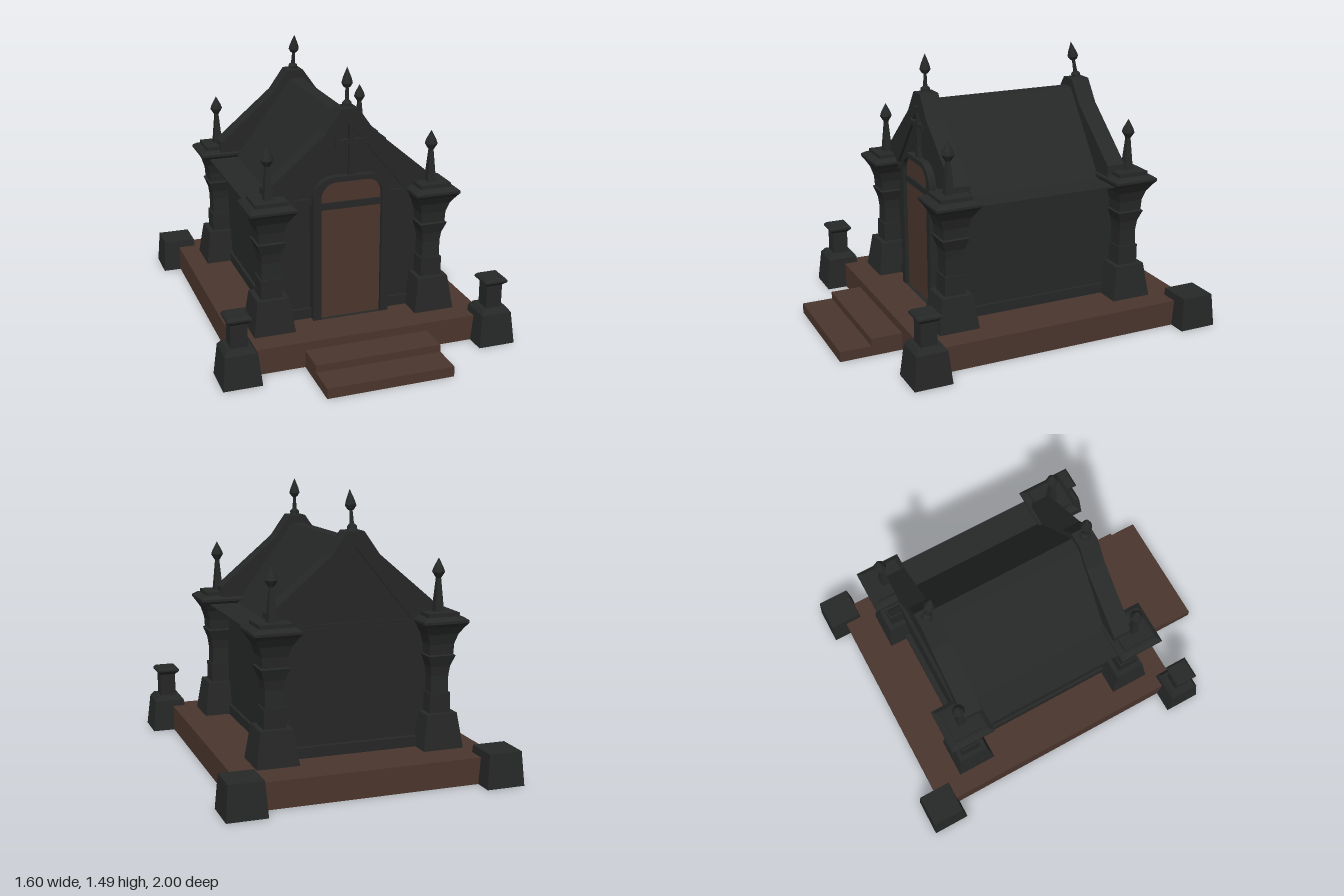
import * as THREE from 'three';

export function createModel() {
  const model = new THREE.Group();
  model.name = 'mausoleum';
  const stone = new THREE.MeshStandardMaterial({ color: 0x262727, side: THREE.DoubleSide });
  stone.name = 'dark stone';
  const brown = new THREE.MeshStandardMaterial({ color: 0x4a352d, side: THREE.DoubleSide });
  brown.name = 'brown stone';
  const CX = -0.012; // the building sits slightly off the plinth centre

  function add(name, geo, mat, x = 0, y = 0, z = 0, parent = model) {
    const m = new THREE.Mesh(geo, mat);
    m.name = name;
    m.position.set(x, y, z);
    parent.add(m);
    return m;
  }
  const box = (w, h, d) => new THREE.BoxGeometry(w, h, d);

  // Faceted turned shape from [radius, height] pairs; four sides give a square section
  function turned(profile, sides = 4) {
    const k = sides === 4 ? Math.SQRT2 : 1;
    const pts = profile.map(([r, y]) => new THREE.Vector2(r * k, y));
    const g = new THREE.LatheGeometry(pts, sides, Math.PI / 4).toNonIndexed();
    g.computeVertexNormals();
    return g;
  }
  // Box without a bottom face
  const openBox = (w, h, d) => turned([[0.5, 0], [0.5, 1], [0, 1]]).scale(w, h, d);

  // Mirrored outline given by its right half from bottom to top
  function symmetric(half) {
    const s = new THREE.Shape();
    half.forEach(([x, y], i) => (i ? s.lineTo(x, y) : s.moveTo(x, y)));
    [...half].reverse().forEach(([x, y]) => s.lineTo(-x, y));
    s.closePath();
    return s;
  }
  const extrude = (shape, depth) =>
    new THREE.ExtrudeGeometry(shape, { depth, bevelEnabled: false, curveSegments: 6 });

  // Platform and steps
  add('platform', openBox(1.36, 0.14, 1.56), brown, 0, 0, -0.12);
  add('upperStep', openBox(0.68, 0.095, 0.17), brown, 0, 0, 0.745);
  add('lowerStep', openBox(0.68, 0.055, 0.17), brown, 0, 0, 0.915);

  // Corner posts
  const tallPost = turned([[0.102, 0], [0.084, 0.175], [0.066, 0.2], [0.044, 0.2], [0.044, 0.325],
    [0.064, 0.345], [0.064, 0.355], [0.052, 0.368], [0, 0.368]]);
  const shortPost = turned([[0.104, 0], [0.09, 0.18], [0, 0.18]]);
  for (const s of [-1, 1]) {
    add('frontPost', tallPost, stone, s * 0.7, 0, 0.67);
    add('backPost', shortPost, stone, s * 0.676, 0, -0.897);
  }

  // Body with steep roof
  const body = symmetric([[0.405, 0.13], [0.405, 0.785], [0.365, 0.79], [0.036, 1.235]]);
  add('body', extrude(body, 0.97), stone, CX, 0, -0.59);
  add('wallPlinth', box(0.84, 0.055, 1.0), stone, CX, 0.1675, -0.1);
  for (const s of [-1, 1]) {
    add('eave', box(0.16, 0.009, 0.94), stone, CX + s * 0.445, 0.787, -0.1);
  }
  add('backPlinth', box(0.68, 0.055, 0.03), stone, CX, 0.1675, -0.605);

  // Gable parapets with a recessed triangle, front and back
  const gable = symmetric([[0.46, 0.8], [0.455, 0.885], [0.13, 1.16], [0.045, 1.28]]);
  const recess = new THREE.Path();
  recess.moveTo(-0.31, 0.82);
  recess.lineTo(0, 1.2);
  recess.lineTo(0.31, 0.82);
  recess.closePath();
  const rim = gable.clone();
  rim.holes.push(recess);
  for (const [zCore, zRim] of [[0.31, 0.4], [-0.585, -0.6]]) {
    add('gableWall', extrude(gable, 0.09), stone, CX, 0, zCore);
    add('gableRim', extrude(rim, 0.015), stone, CX, 0, zRim);
  }
  add('frontMoulding', box(0.7, 0.02, 0.025), stone, CX, 0.79, 0.395);
  add('backMoulding', box(0.7, 0.02, 0.025), stone, CX, 0.79, -0.595);

  // Columns with pointed finials
  const column = turned([[0.112, 0.14], [0.085, 0.325], [0.058, 0.325], [0.058, 0.43], [0.05, 0.43],
    [0.049, 0.52], [0.055, 0.57], [0.076, 0.63], [0.066, 0.635], [0.069, 0.69], [0.085, 0.745],
    [0.11, 0.785], [0.125, 0.805], [0.125, 0.818], [0.1, 0.835], [0.087, 0.835], [0.087, 0.855], [0, 0.855]]);
  const spike = turned([[0.024, 0.855], [0.01, 1.03], [0, 1.03]]);
  const spikeHead = turned([[0, 1.02], [0.016, 1.03], [0.035, 1.06], [0.028, 1.08], [0, 1.132]], 8);
  for (const x of [-0.448, 0.448]) {
    for (const z of [0.42, -0.61]) {
      add('column', column, stone, CX + x, 0, z);
      add('columnSpike', spike, stone, CX + x, 0, z + Math.sign(z) * 0.01);
      add('columnSpikeHead', spikeHead, stone, CX + x, 0, z + Math.sign(z) * 0.01);
    }
  }

  // Ridge finials, the rear one leaning
  const finial = turned([[0.035, -0.01], [0.026, 0.01], [0.026, 0.022], [0.012, 0.035], [0.009, 0.1],
    [0.018, 0.105], [0.031, 0.125], [0.024, 0.15], [0, 0.208]], 8);
  add('frontFinial', finial, stone, CX, 1.28, 0.365);
  add('backFinial', finial, stone, CX, 1.28, -0.548).rotation.x = 0.19;

  // Arched doorway
  function arch(Outline, w, top, r) {
    const s = new Outline();
    s.moveTo(-w, 0.14);
    s.lineTo(w, 0.14);
    s.lineTo(w, top - r);
    s.absarc(w - r, top - r, r, 0, Math.PI / 2, false);
    s.lineTo(-w + r, top);
    s.absarc(-w + r, top - r, r, Math.PI / 2, Math.PI, false);
    s.closePath();
    return s;
  }
  const frame = arch(THREE.Shape, 0.212, 0.932, 0.12);
  frame.holes.push(arch(THREE.Path, 0.168, 0.905, 0.085));
  add('doorFrame', extrude(frame, 0.065), stone, CX + 0.004, 0, 0.375);
  add('door', extrude(arch(THREE.Shape, 0.17, 0.907, 0.086), 0.03), brown, CX + 0.004, 0, 0.388);
  add('doorLintel', box(0.336, 0.036, 0.05), stone, CX + 0.004, 0.773, 0.405);

  // Cross above the door, arms flared at the ends
  const cross = new THREE.Group();
  cross.name = 'cross';
  cross.position.set(CX + 0.006, 1.11, 0.395);
  model.add(cross);
  const limb = (length) => extrude(symmetric([[0.012, 0], [0.012, length * 0.7], [0.019, length]]), 0.03);
  [0.1, 0.085, 0.18, 0.085].forEach((length, i) => {
    add('crossArm', limb(length), stone, 0, 0, 0, cross).rotation.z = i * Math.PI / 2;
  });

  return model;
}
